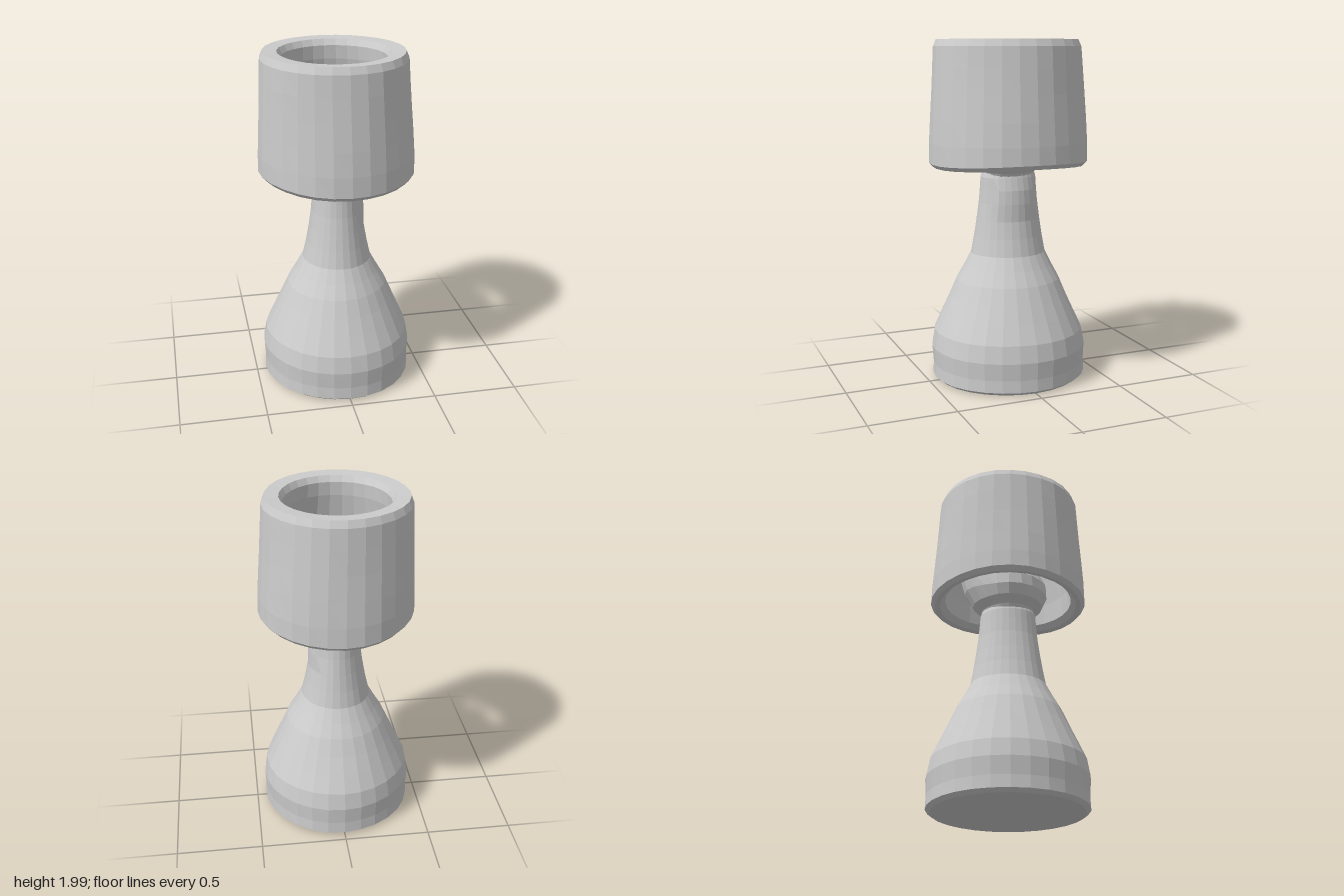
import * as THREE from 'three';

const material = new THREE.MeshStandardMaterial({ color: 0xcccccc, flatShading: true });

// Small smooth unevenness, giving the hand-formed surface
const wobble = (a, y) => Math.sin(3 * a + 4 * y) * 0.6 + Math.sin(5 * a - 7 * y) * 0.4;

// Lathe from [radius, y] pairs, with each vertex adjusted by a rule
function turned(name, profile, segments, rule, uneven = 0.008) {
  const points = profile.map(([r, y]) => new THREE.Vector2(r, y));
  const geometry = new THREE.LatheGeometry(points, segments);
  const pos = geometry.attributes.position;
  const v = new THREE.Vector3();
  for (let i = 0; i < pos.count; i++) {
    v.fromBufferAttribute(pos, i);
    const k = 1 + uneven * wobble(Math.atan2(v.x, v.z), v.y);
    v.x *= k;
    v.z *= k;
    rule(v);
    pos.setXYZ(i, v.x, v.y, v.z);
  }
  geometry.computeVertexNormals();
  const mesh = new THREE.Mesh(geometry, material);
  mesh.name = name;
  return mesh;
}

export function createModel() {
  const lamp = new THREE.Group();
  lamp.name = 'tableLamp';

  // Bell-shaped foot narrowing into an oval neck
  lamp.add(turned('base', [
    [0, 0.01], [0.42, 0.01], [0.445, 0.03], [0.442, 0.1], [0.448, 0.2], [0.43, 0.3],
    [0.385, 0.4], [0.34, 0.5], [0.295, 0.6], [0.247, 0.68], [0.203, 0.76], [0.18, 0.86],
    [0.162, 0.96], [0.148, 1.06], [0.142, 1.14], [0.138, 1.21], [0.13, 1.24],
  ], 28, (v) => {
    v.z *= 1.03 + 0.17 * THREE.MathUtils.smoothstep(v.y, 0.5, 1.1);
    // Small knob on the side of the neck
    if (v.x > 0.1) v.x += 0.02 * Math.exp(-(((v.y - 1.1) / 0.06) ** 2));
  }));

  // Bulb holder flaring out inside the shade
  lamp.add(turned('socket', [
    [0.125, 1.2], [0.145, 1.24], [0.19, 1.28], [0.215, 1.34], [0.212, 1.41],
    [0.19, 1.46], [0.155, 1.45], [0.12, 1.41], [0, 1.39],
  ], 20, (v) => {
    v.z *= 1.1;
    // Raised, stretched lip at the back
    if (v.z < -0.1) {
      const t = (-v.z - 0.1) * THREE.MathUtils.smoothstep(v.y, 1.28, 1.42);
      v.z -= t * 0.45;
      v.y += t * 0.5;
    }
  }, 0.03));

  // Oval bulb
  lamp.add(turned('bulb', [
    [0.08, 1.36], [0.105, 1.42], [0.12, 1.5], [0.105, 1.58], [0.065, 1.64], [0, 1.67],
  ], 14, (v) => { v.z *= 1.3; }, 0.03));

  // Thick open shade with a rounded, slightly wavy lower edge
  lamp.add(turned('shade', [
    [0.37, 1.33], [0.4, 1.3], [0.43, 1.295], [0.452, 1.32], [0.45, 1.42], [0.442, 1.55],
    [0.432, 1.7], [0.424, 1.84], [0.417, 1.96], [0.4, 2.0], [0.32, 1.995], [0.3, 1.96],
    [0.305, 1.88], [0.33, 1.75], [0.35, 1.6], [0.365, 1.45], [0.37, 1.33],
  ], 28, (v) => {
    v.y -= 0.13 * v.z * v.z * (1 - THREE.MathUtils.smoothstep(v.y, 1.3, 1.5));
    v.x -= 0.01 * THREE.MathUtils.smoothstep(v.y, 1.3, 2);
    v.z *= 1.03;
  }));

  return lamp;
}
